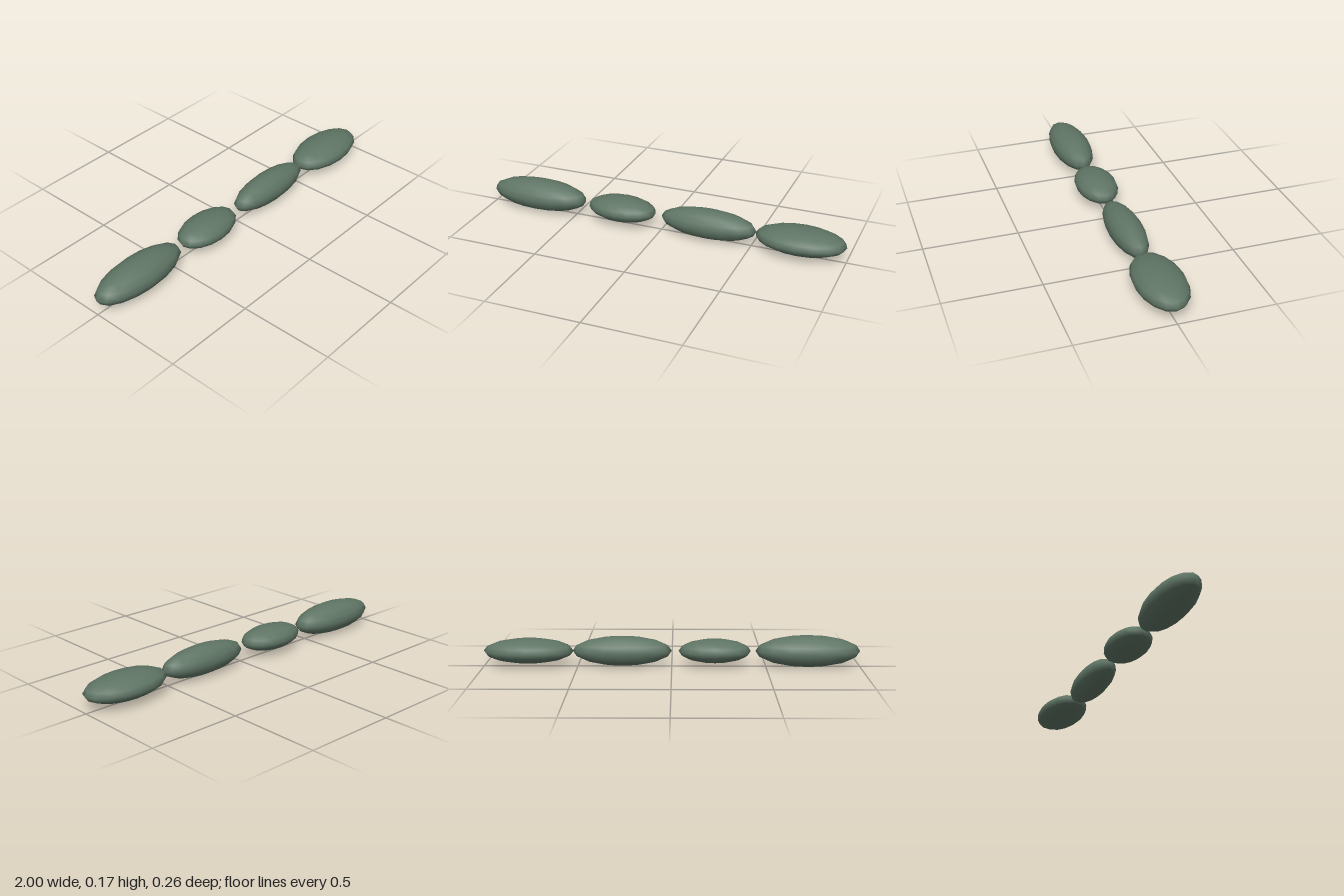
import * as THREE from 'three';

// Row of flattened ellipsoid pads: centre x, then radii along x, y and z
const PADS = [
  [-0.722, 0.278, 0.0835, 0.107],
  [-0.228, 0.191, 0.063, 0.111],
  [0.263, 0.263, 0.079, 0.088],
  [0.761, 0.239, 0.065, 0.128],
];
const CENTRE_Y = 0.0835;

export function createModel() {
  const group = new THREE.Group();
  group.name = 'padRow';
  const material = new THREE.MeshStandardMaterial({ color: 0x5f7565 });

  PADS.forEach(([x, rx, ry, rz], i) => {
    // Coarse sphere with smooth normals, stretched into a pad
    const geometry = new THREE.SphereGeometry(1, 16, 8);
    geometry.scale(rx, ry, rz);
    const pad = new THREE.Mesh(geometry, material);
    pad.name = `pad${i + 1}`;
    pad.position.set(x, CENTRE_Y, 0);
    group.add(pad);
  });
  return group;
}
